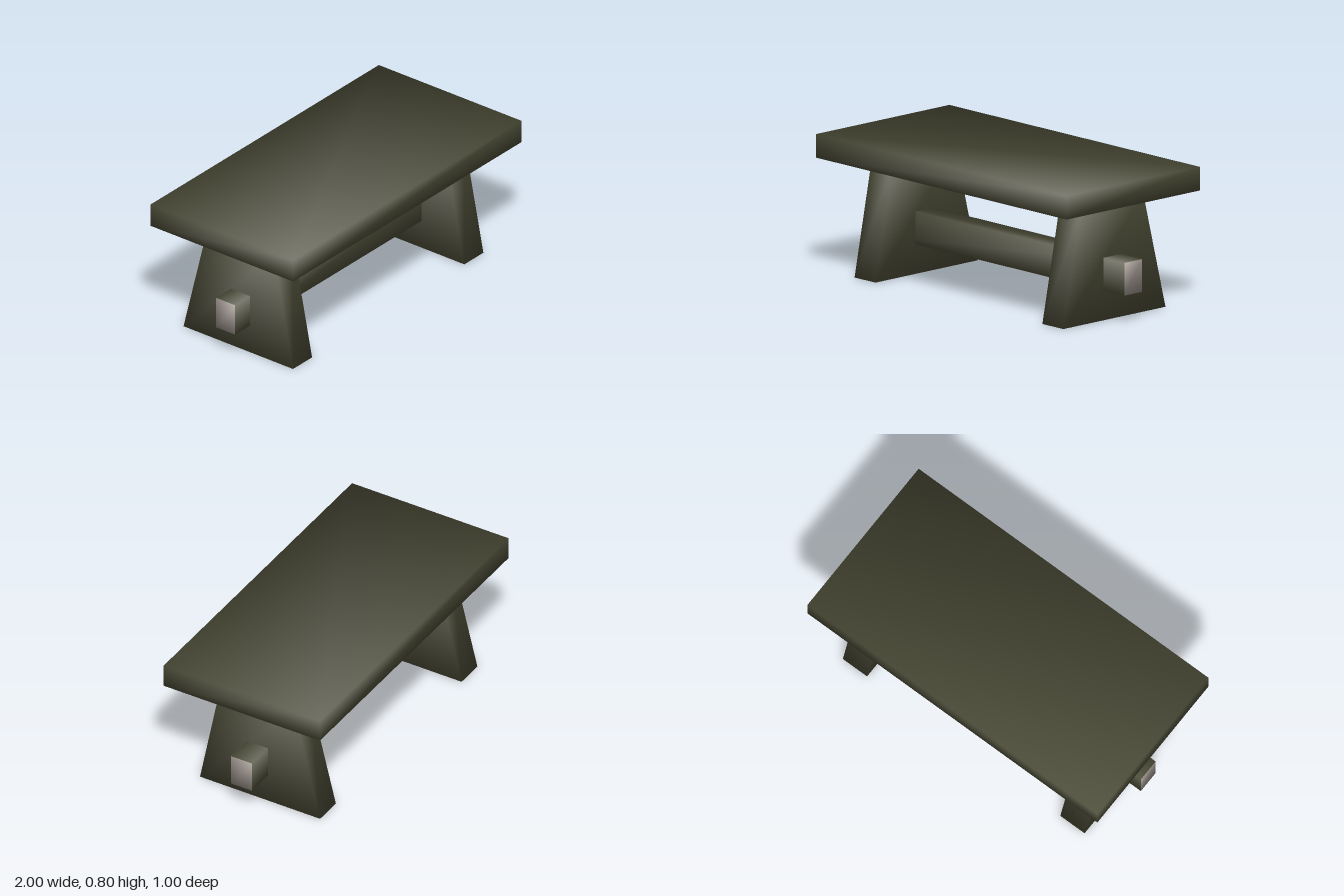
import * as THREE from 'three';

const wood = new THREE.MeshStandardMaterial({ color: 0x4b4b37 });
wood.name = 'darkOliveWood';
const endGrain = new THREE.MeshStandardMaterial({ color: 0x9c928c });
endGrain.name = 'paleEndGrain';

// Box between two corners, with smooth normals pointing out of its corners
function softBox(min, max) {
  const size = max.map((v, i) => v - min[i]);
  const geometry = new THREE.BoxGeometry(...size);
  const position = geometry.attributes.position;
  const normal = geometry.attributes.normal;
  const k = 1 / Math.sqrt(3);
  for (let i = 0; i < position.count; i++) {
    normal.setXYZ(i,
      Math.sign(position.getX(i)) * k,
      Math.sign(position.getY(i)) * k,
      Math.sign(position.getZ(i)) * k);
  }
  return geometry.translate(...max.map((v, i) => (v + min[i]) / 2));
}

function part(name, geometry, material) {
  const mesh = new THREE.Mesh(geometry, material);
  mesh.name = name;
  return mesh;
}

// Slab leg that spreads towards the floor, slightly further at the back
function legGeometry(x0, x1) {
  const geometry = softBox([x0, 0, -0.233], [x1, 0.667, 0.233]);
  const position = geometry.attributes.position;
  for (let i = 0; i < position.count; i++) {
    if (position.getY(i) < 0.01) position.setZ(i, position.getZ(i) > 0 ? 0.367 : -0.4);
  }
  return geometry;
}

export function createModel() {
  const table = new THREE.Group();
  table.name = 'trestleTable';

  table.add(part('tableTop', softBox([-1, 0.667, -0.5], [1, 0.8, 0.5]), wood));
  table.add(part('leftLeg', legGeometry(0.665, 0.832), wood));
  table.add(part('rightLeg', legGeometry(-0.835, -0.668), wood));

  // Stretcher passing through both legs, with pale cut ends
  table.add(part('stretcher', softBox([-0.967, 0.168, -0.066], [1, 0.352, 0.067]),
    [endGrain, endGrain, wood, wood, wood, wood]));

  return table;
}
